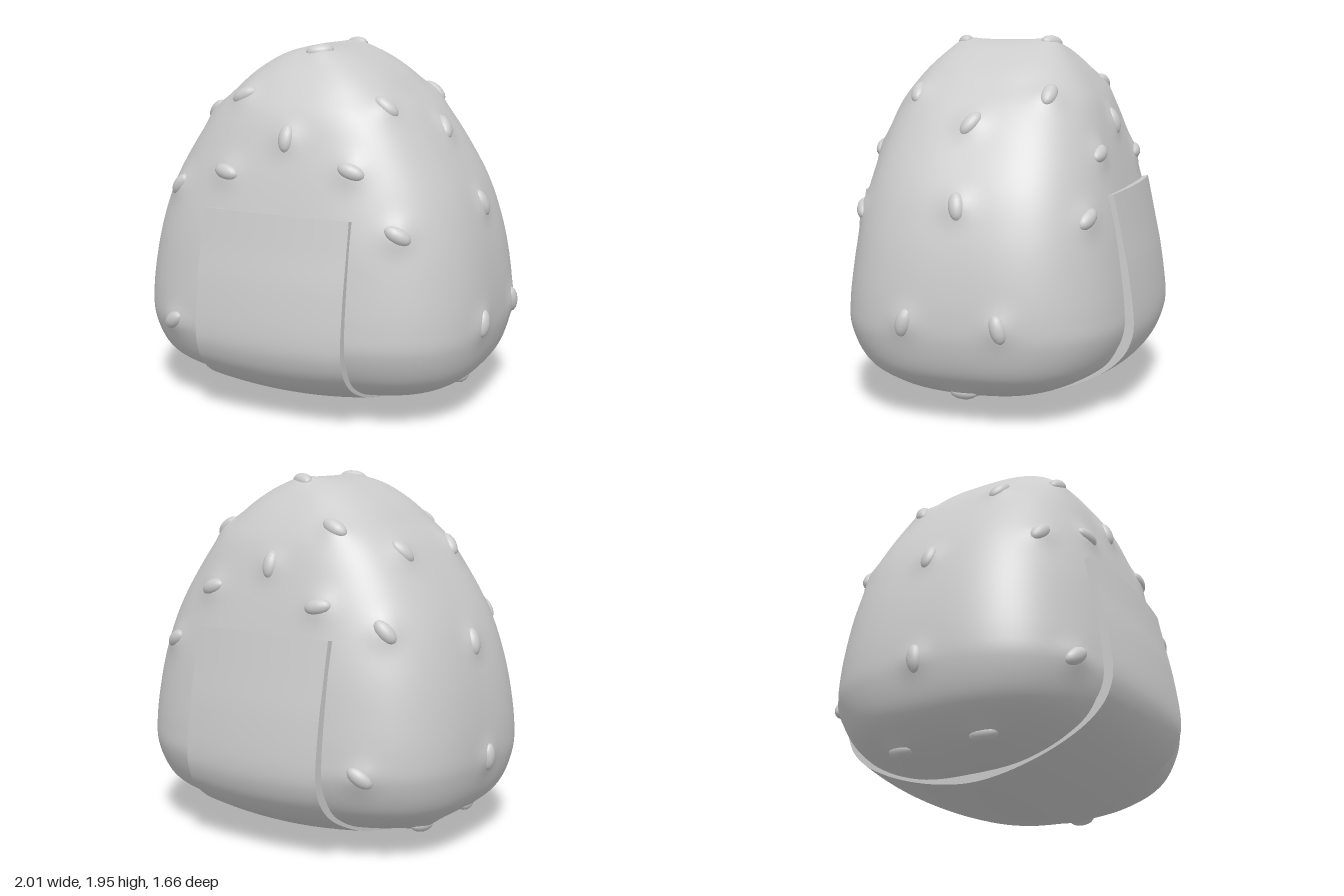
import * as THREE from 'three';
import { toCreasedNormals } from 'three/addons/utils/BufferGeometryUtils.js';

const POWER = 3; // squareness of the horizontal sections

// Body profile: half-width, height, half-depth
const profile = new THREE.CatmullRomCurve3([
  [0, 0.06, 0], [0.35, 0.07, 0.2], [0.62, 0.105, 0.38], [0.8, 0.18, 0.56], [0.91, 0.28, 0.69],
  [0.965, 0.45, 0.765], [0.97, 0.58, 0.765], [0.945, 0.8, 0.74], [0.9, 1, 0.71], [0.83, 1.2, 0.665],
  [0.72, 1.4, 0.61], [0.58, 1.6, 0.54], [0.48, 1.7, 0.48], [0.37, 1.8, 0.4], [0.22, 1.89, 0.3],
  [0.1, 1.925, 0.2], [0, 1.93, 0],
].map((p) => new THREE.Vector3(...p)));
const levels = profile.getPoints(400);

// Half-width and half-depth of the body at height y
function sizeAt(y) {
  const i = Math.max(1, levels.findIndex((p) => p.y >= y));
  const a = levels[i - 1], b = levels[i];
  return a.clone().lerp(b, (y - a.y) / (b.y - a.y));
}

function field(x, y, z) {
  const s = sizeAt(y);
  return Math.pow(Math.pow(Math.abs(x) / s.x, POWER) + Math.pow(Math.abs(z) / s.z, POWER), 1 / POWER);
}

// Grains: x, y, z (rough), tilt in degrees, mirrored front to back when z is not 0
const grainList = [
  [-0.32, 1.69, 0.46, 35], [0, 1.5, 0.58, 90], [0.37, 1.36, 0.6, -20], [-0.33, 1.31, 0.63, -10],
  [-0.68, 1.2, 0.54, 50], [0.63, 1.06, 0.61, -30], [-0.64, 0.49, 0.71, 35], [0.45, 1.66, 0.35, 120],
  [-0.6, 1.57, 0.25, 60], [0.97, 0.55, 0.25, 75], [0.03, 1.915, 0.22, 20], [-0.75, 0.15, 0.25, 10],
  [0.61, 1.52, 0, 60], [0.84, 1.13, 0, 100], [-0.87, 1.1, 0, 80], [-0.97, 0.5, 0, 90], [0.74, 0.16, 0, 0],
];

function placeGrain([x, y, z, tilt]) {
  const f = field(x, y, z), e = 0.004;
  const pos = new THREE.Vector3(x / f, y, z / f);
  const slope = (dx, dy, dz) =>
    field(pos.x + dx, y + dy, pos.z + dz) - field(pos.x - dx, y - dy, pos.z - dz);
  const normal = new THREE.Vector3(slope(e, 0, 0), slope(0, e, 0), slope(0, 0, e)).normalize();
  const u = new THREE.Vector3(0, 1, 0).cross(normal).normalize();
  u.applyAxisAngle(normal, THREE.MathUtils.degToRad(tilt));
  return { pos, normal, u, v: normal.clone().cross(u) };
}

// Indices of a grid of rings, each ring closed on itself
function ringIndices(rings, n) {
  const index = [];
  for (let i = 0; i < rings - 1; i++) {
    for (let j = 0; j < n; j++) {
      const a = i * n + j, b = i * n + ((j + 1) % n);
      index.push(a, a + n, b, b, a + n, b + n);
    }
  }
  return index;
}

function meshGeometry(points, index) {
  const g = new THREE.BufferGeometry().setFromPoints(points);
  g.setIndex(index);
  g.computeVertexNormals();
  return g;
}

// Rounded rice body, swelling softly around each grain
function bodyGeometry(grains) {
  const rings = 110, n = 144, points = [];
  for (let i = 0; i < rings; i++) {
    const s = profile.getPoint(THREE.MathUtils.lerp(0.001, 0.999, i / (rings - 1)));
    for (let j = 0; j < n; j++) {
      const t = (j / n) * Math.PI * 2, c = Math.cos(t), d = Math.sin(t);
      const k = Math.pow(Math.abs(c) ** POWER + Math.abs(d) ** POWER, -1 / POWER);
      const p = new THREE.Vector3(s.x * c * k, s.y, s.z * d * k), base = p.clone();
      for (const g of grains) {
        p.addScaledVector(g.normal, 0.02 * Math.exp(-base.distanceToSquared(g.pos) / 0.006));
      }
      points.push(p);
    }
  }
  const index = ringIndices(rings, n), last = (rings - 1) * n;
  // close the tiny openings at both poles
  for (let j = 1; j < n - 1; j++) index.push(0, j, j + 1, last, last + j + 1, last + j);
  return meshGeometry(points, index);
}

// Wrapped strip: a thin bowed section swept from the front, underneath, to the back
function stripGeometry() {
  const half = [[0.76, 0.95], [0.8, 0.75], [0.83, 0.5], [0.81, 0.37], [0.75, 0.27],
    [0.64, 0.18], [0.45, 0.09], [0.22, 0.025]];
  const path = new THREE.SplineCurve([
    [0.725, 1.135], ...half, [0, 0], ...half.map(([z, y]) => [-z, y]).reverse(), [-0.715, 1.165],
  ].map((p) => new THREE.Vector2(...p)));
  const rings = 90, m = 13, n = m * 2, points = [];
  for (let i = 0; i < rings; i++) {
    const t = i / (rings - 1), p = path.getPoint(t), d = path.getTangent(t);
    for (let j = 0; j < n; j++) {
      const k = j < m ? j : n - 1 - j;
      const s = (k / (m - 1)) * 2 - 1;
      const sink = 0.032 * s * s + (j < m ? 0 : 0.05);
      points.push(new THREE.Vector3(-0.015 + 0.415 * s, p.y - d.x * sink, p.x + d.y * sink));
    }
  }
  const index = ringIndices(rings, n), last = (rings - 1) * n;
  // end caps
  for (let k = 0; k < m - 1; k++) {
    const a = k, b = k + 1, c = n - 1 - k, e = n - 2 - k;
    index.push(a, b, c, b, e, c);
    index.push(last + a, last + c, last + b, last + b, last + c, last + e);
  }
  return toCreasedNormals(meshGeometry(points, index), 0.7);
}

export function createModel() {
  const group = new THREE.Group();
  group.name = 'riceBall';
  const material = new THREE.MeshStandardMaterial({ color: 0xcccccc });
  const add = (name, geometry, parent = group) => {
    const mesh = new THREE.Mesh(geometry, material);
    mesh.name = name;
    parent.add(mesh);
    return mesh;
  };

  const grains = grainList
    .flatMap(([x, y, z, a]) => (z ? [[x, y, z, a], [x, y, -z, -a]] : [[x, y, z, a]]))
    .map(placeGrain);

  add('riceBody', bodyGeometry(grains));
  add('seaweedStrip', stripGeometry());

  // Rice grains lying half sunk in the surface
  const grainGroup = new THREE.Group();
  grainGroup.name = 'riceGrains';
  group.add(grainGroup);
  const grainShape = new THREE.SphereGeometry(1, 16, 12);
  for (const g of grains) {
    const mesh = add('riceGrain', grainShape, grainGroup);
    mesh.quaternion.setFromRotationMatrix(new THREE.Matrix4().makeBasis(g.u, g.v, g.normal));
    mesh.position.copy(g.pos);
    mesh.scale.set(0.075, 0.042, 0.038);
  }
  return group;
}
